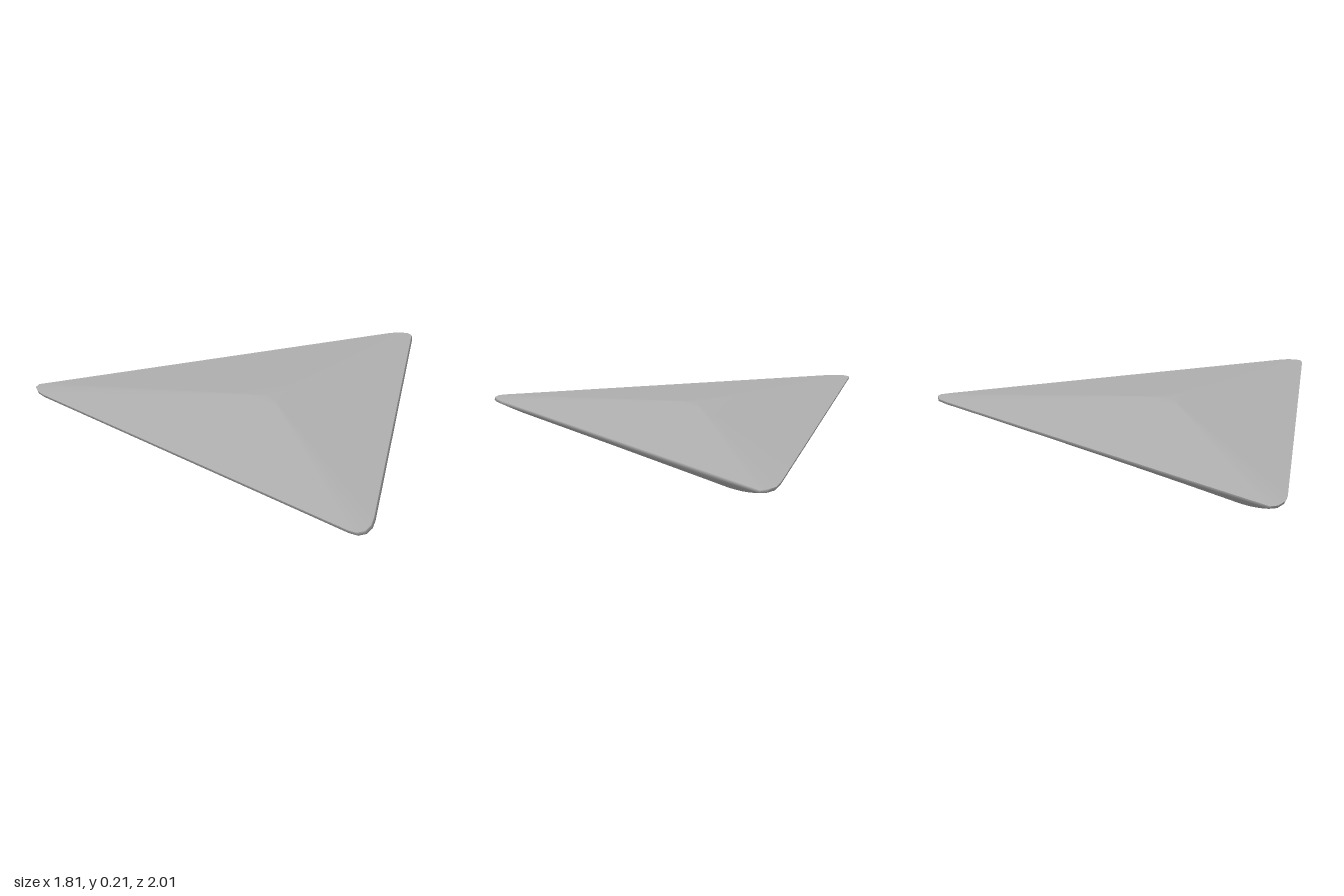
import * as THREE from 'three';

// Rounded corners of the rim as [x, z], anticlockwise seen from above,
// each with the corner of the flat belly below it
const corners = [
  { rim: [[-0.785, 0.95], [-0.775, 0.985], [-0.745, 1], [-0.7, 0.992], [-0.65, 0.965]], belly: [-0.53, 0.45] },
  { rim: [[0.865, -0.05], [0.895, -0.075], [0.9, -0.1], [0.875, -0.145], [0.82, -0.18]], belly: [0.22, 0.03] },
  { rim: [[-0.82, -0.985], [-0.85, -1], [-0.88, -0.985], [-0.9, -0.94], [-0.905, -0.89]], belly: [-0.54, -0.5] },
];
const APEX = [-0.25, 0];
const EDGE_STEPS = 8;
const mix = (a, b, t) => [a[0] + (b[0] - a[0]) * t, a[1] + (b[1] - a[1]) * t];

// Close an outline by subdividing the long edges between its corners
function outline(arcs) {
  const pts = [];
  arcs.forEach((arc, i) => {
    pts.push(...arc);
    const next = arcs[(i + 1) % arcs.length][0];
    for (let k = 1; k < EDGE_STEPS; k++) pts.push(mix(arc[arc.length - 1], next, k / EDGE_STEPS));
  });
  return pts;
}

// Skin a stack of rings {pts, y} and close it at a centre point
function skin(rings, centre, centreY, down) {
  const n = rings[0].pts.length, pos = [], idx = [];
  const tri = (a, b, c) => (down ? idx.push(a, c, b) : idx.push(a, b, c));
  for (const r of rings) for (const [x, z] of r.pts) pos.push(x, r.y, z);
  pos.push(centre[0], centreY, centre[1]);
  const last = rings.length - 1;
  for (let i = 0; i < n; i++) {
    const j = (i + 1) % n;
    for (let r = 0; r < last; r++) {
      tri(r * n + i, r * n + j, (r + 1) * n + i);
      tri(r * n + j, (r + 1) * n + j, (r + 1) * n + i);
    }
    tri(last * n + i, last * n + j, (last + 1) * n);
  }
  const g = new THREE.BufferGeometry();
  g.setAttribute('position', new THREE.Float32BufferAttribute(pos, 3));
  g.setIndex(idx);
  g.computeVertexNormals();
  return g;
}

export function createModel() {
  const grey = new THREE.MeshStandardMaterial({ color: 0xb0b0b0 });
  grey.name = 'grey';
  const group = new THREE.Group();
  group.name = 'triangularHull';
  const add = (name, geometry) => {
    const mesh = new THREE.Mesh(geometry, grey);
    mesh.name = name;
    group.add(mesh);
  };

  const rim = outline(corners.map((c) => c.rim));
  const belly = outline(corners.map((c) => {
    const mid = c.rim[2];
    return c.rim.map(([x, z]) => [c.belly[0] + (x - mid[0]) * 0.3, c.belly[1] + (z - mid[1]) * 0.3]);
  }));

  // Shallow three-sided roof with a softened peak
  const roof = [1, 0.98, 0.75, 0.5, 0.25, 0.1].map((s) => ({
    pts: rim.map((p) => mix(APEX, p, s)),
    y: 0.15 + 0.062 * (1 - s),
  }));
  add('roof', skin(roof, APEX, 0.208, false));

  // Thin rim band, leaning out a little at the front
  const rimLow = rim.map(([x, z]) => [x + 0.004, z + 0.005]);

  // Underside curving from the rim down to the flat belly
  const hull = [{ pts: rim, y: 0.15 }, { pts: rimLow, y: 0.137 }];
  for (let k = 1; k <= 10; k++) {
    const t = k / 10;
    hull.push({
      pts: rimLow.map((p, i) => mix(p, belly[i], t)),
      y: 0.137 * Math.pow(1 - t, 1.75),
    });
  }
  add('underside', skin(hull, [-0.28, 0], 0, true));
  return group;
}
